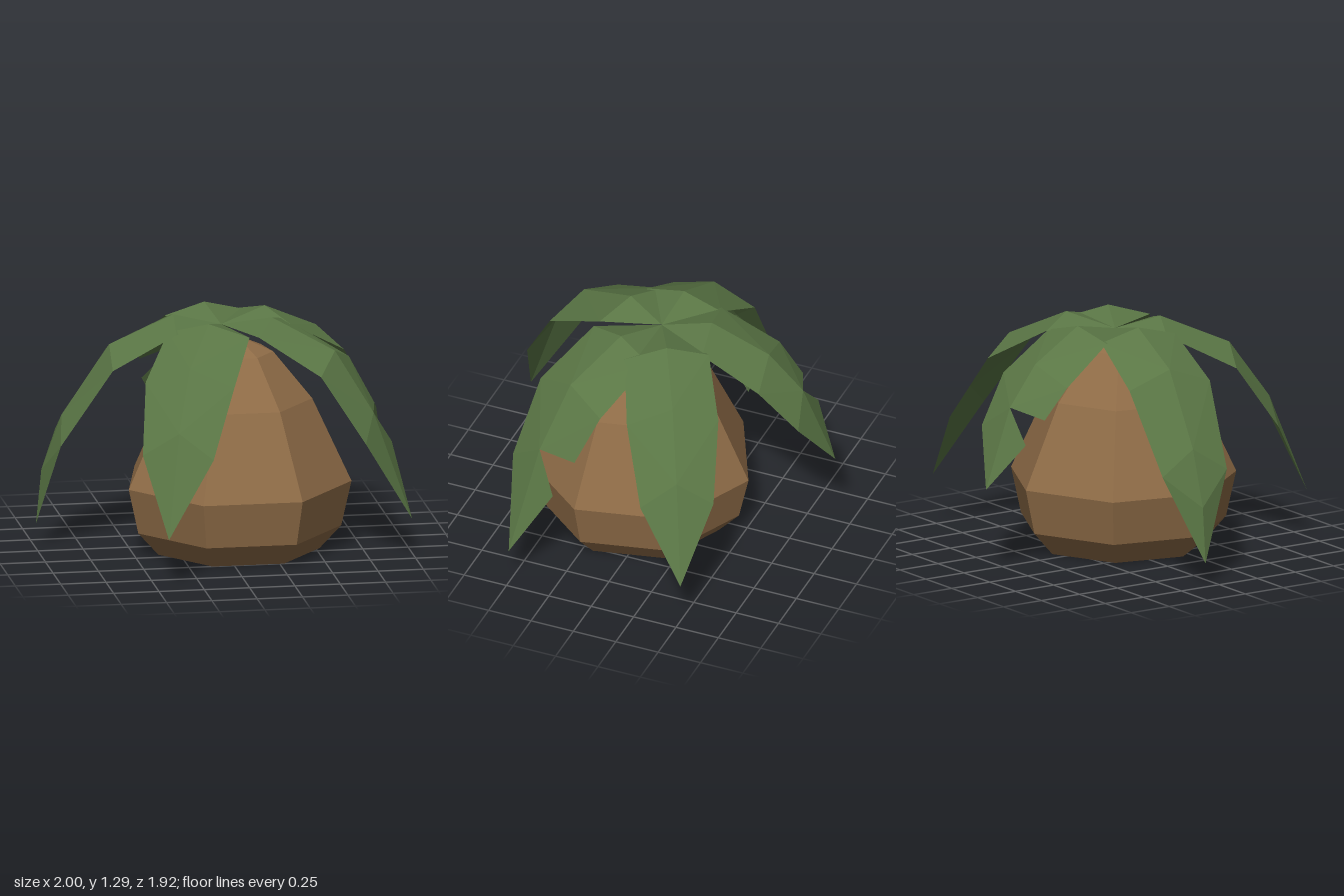
import * as THREE from 'three';

const brown = new THREE.MeshStandardMaterial({ color: 0x8f6c47, flatShading: true });
const green = new THREE.MeshStandardMaterial({ color: 0x5a7645, flatShading: true, side: THREE.DoubleSide });

// Seven-sided husk, flat at the bottom and pointed at the top
function makeBody() {
  const profile = [[0, 0], [0.456, 0], [0.574, 0.13], [0.63, 0.38], [0.416, 0.84], [0.203, 1.1], [0, 1.19]];
  const geo = new THREE.LatheGeometry(profile.map(p => new THREE.Vector2(...p)), 7, Math.PI);
  const body = new THREE.Mesh(geo, brown);
  body.position.set(0.077, 0, 0.09);
  body.name = 'body';
  return body;
}

// Drooping leaf: a raised midrib with two lower edges; torn leaves lose a notch on one side
function makeLeaf({ angle, radii, drop, tip, bulge = 0, torn = false }) {
  const a = THREE.MathUtils.degToRad(angle);
  const at = (r, y, s) => new THREE.Vector3(
    0.01 + r * Math.cos(a) - s * Math.sin(a), y, r * Math.sin(a) + s * Math.cos(a));
  const midY = [1.29, 1.13, 0.8 + drop];
  const edgeY = [1.23, 1.04, 0.67 + drop];
  const widths = [0.23, 0.25, 0.2];
  const root = at(0, 1.23, 0);
  const end = at(tip[0], tip[1], 0);
  const mid = radii.map((r, i) => at(r, midY[i], 0));
  const ridge = at((radii[2] + tip[0]) / 2 + bulge, (midY[2] + tip[1]) / 2, 0);

  const pos = [];
  for (const side of [1, -1]) {
    const tri = (p, q, r) => (side > 0 ? [p, q, r] : [p, r, q]).forEach(v => pos.push(v.x, v.y, v.z));
    const quad = (p, q, r, s) => { tri(p, q, r); tri(p, r, s); };
    const edge = radii.map((r, i) => at(r + (i === 2 ? 0.02 : 0), edgeY[i], side * widths[i]));
    const notch = torn && side < 0;
    const upper = notch ? edge[1].clone().lerp(edge[2], 0.65) : edge[2];
    const lower = notch ? edge[2].clone().lerp(end, 0.15) : edge[2];
    tri(root, edge[0], mid[0]);
    quad(edge[0], edge[1], mid[1], mid[0]);
    quad(edge[1], upper, mid[2], mid[1]);
    tri(lower, ridge, mid[2]);
    tri(lower, end, ridge);
  }
  const geo = new THREE.BufferGeometry();
  geo.setAttribute('position', new THREE.Float32BufferAttribute(pos, 3));
  geo.computeVertexNormals();
  return new THREE.Mesh(geo, green);
}

export function createModel() {
  const model = new THREE.Group();
  model.name = 'leafyHusk';
  model.add(makeBody());

  const leaves = new THREE.Group();
  leaves.name = 'leaves';
  const specs = [
    { name: 'rightLeaf', angle: 185, radii: [0.26, 0.61, 0.87], drop: -0.06, tip: [1.01, 0.13], bulge: 0.04 },
    { name: 'frontLeaf', angle: 115, radii: [0.25, 0.63, 0.85], drop: 0.02, tip: [1.06, 0.275] },
    { name: 'frontLeftLeaf', angle: 27, radii: [0.29, 0.65, 0.87], drop: 0, tip: [1.09, 0.22], torn: true },
    { name: 'backLeftLeaf', angle: -28, radii: [0.3, 0.65, 0.89], drop: 0, tip: [1.12, 0.28] },
    { name: 'backLeaf', angle: 260.5, radii: [0.28, 0.6, 0.79], drop: 0.12, tip: [0.97, 0.49], torn: true },
  ];
  for (const spec of specs) {
    const leaf = makeLeaf(spec);
    leaf.name = spec.name;
    leaves.add(leaf);
  }
  model.add(leaves);
  return model;
}
